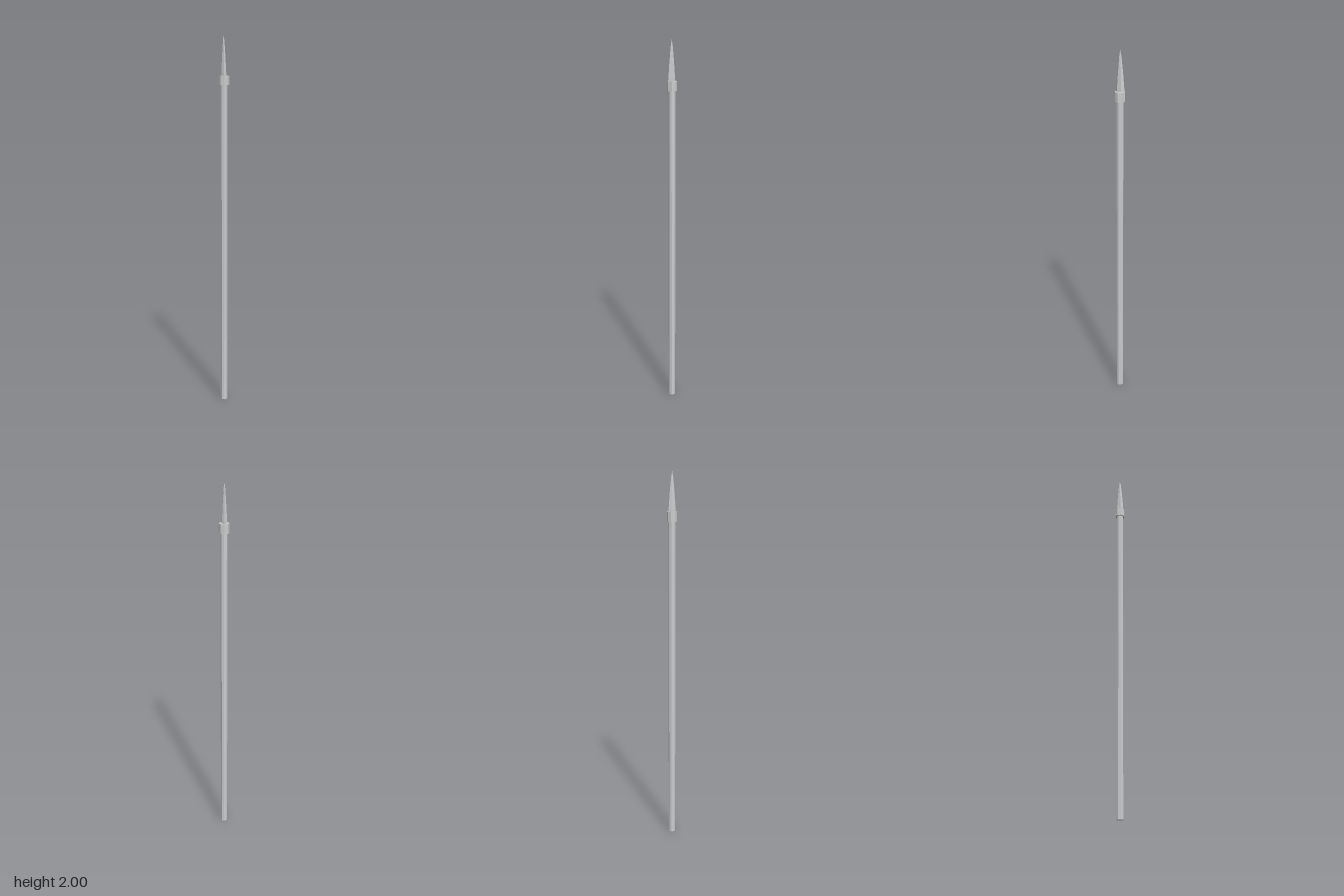
import * as THREE from 'three';

export function createModel() {
  const group = new THREE.Group();
  const material = new THREE.MeshStandardMaterial({ color: 0xcccccc, flatShading: true });

  const add = (name, geometry) => {
    const mesh = new THREE.Mesh(geometry, material);
    mesh.name = name;
    group.add(mesh);
    return mesh;
  };

  // Upright eight-sided prism between two heights
  const prism = (radius, y0, y1) =>
    new THREE.CylinderGeometry(radius, radius, y1 - y0, 8).translate(0, (y0 + y1) / 2, 0);

  // Long pole
  add('shaft', prism(0.0185, 0, 1.77));

  // Collar holding the head on the pole, slightly flattened front to back
  add('collar', prism(0.0275, 1.745, 1.795).scale(1, 1, 0.94));

  // Narrow six-sided spear head, wide in z and thin in x, tapering to a point
  const profile = [[0, 1.78], [0.0235, 1.78], [0.0225, 1.81], [0.016, 1.885], [0.0075, 1.965], [0, 2]]
    .map(([r, y]) => new THREE.Vector2(r, y));
  const head = add('spearHead', new THREE.LatheGeometry(profile, 6).scale(0.66, 1, 1));
  head.position.x = -0.002;

  return group;
}
